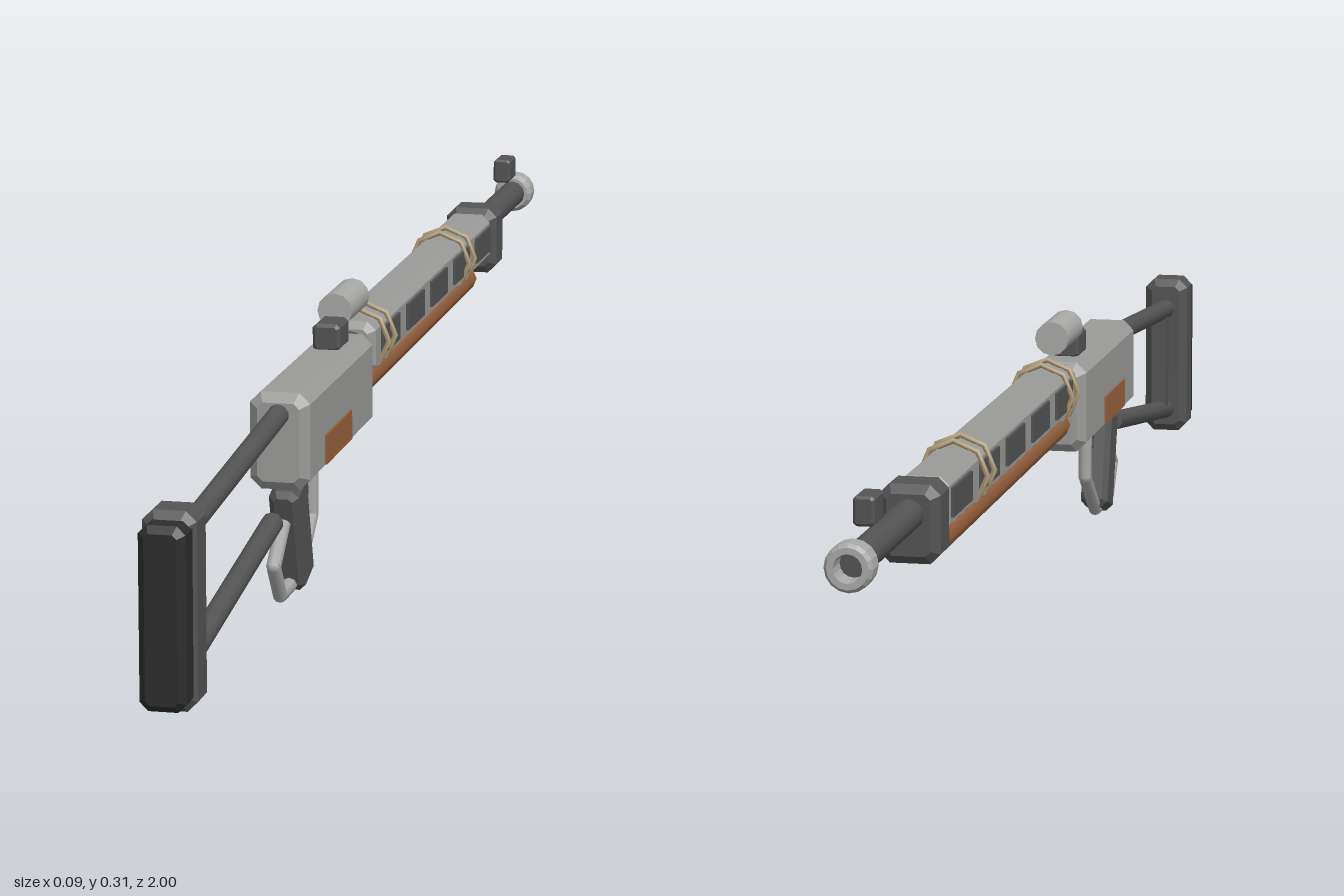
import * as THREE from 'three';

const mat = (name, color) => {
  const m = new THREE.MeshStandardMaterial({ color });
  m.name = name;
  return m;
};

export function createModel() {
  const root = new THREE.Group();
  root.name = 'longProp';
  const steel = mat('steel grey', 0x9a9a98);
  const bright = mat('bright metal', 0xa9a9a8);
  const dark = mat('dark metal', 0x545455);
  const rubber = mat('black rubber', 0x2d2d2e);
  const brown = mat('brown', 0x99623f);
  const tan = mat('tan', 0xb3a07c);

  const add = (name, geo, material, x = 0, y = 0, z = 0) => {
    const m = new THREE.Mesh(geo, material);
    m.name = name;
    m.position.set(x, y, z);
    root.add(m);
    return m;
  };

  // Box with every edge chamfered by c
  const chamferBox = (w, h, d, c) => {
    const a = w / 2 - c, b = h / 2 - c, k = c * 0.6;
    const s = new THREE.Shape([
      [a - k, -b], [a, -b + k], [a, b - k], [a - k, b],
      [-a + k, b], [-a, b - k], [-a, -b + k], [-a + k, -b],
    ].map(([x, y]) => new THREE.Vector2(x, y)));
    const g = new THREE.ExtrudeGeometry(s, {
      depth: d - 2 * c, bevelEnabled: true, bevelSegments: 1, bevelSize: c, bevelThickness: c,
    });
    return g.translate(0, 0, -d / 2 + c);
  };

  // Block given by its y and z limits
  const block = (name, material, w, y0, y1, z0, z1, c) =>
    add(name, chamferBox(w, y1 - y0, z1 - z0, c), material, 0, (y0 + y1) / 2, (z0 + z1) / 2);

  // Round bar between two points in the middle plane, each [y, z]
  const bar = (name, material, r, [y0, z0], [y1, z1], sides = 10) => {
    const a = new THREE.Vector3(0, y0, z0), b = new THREE.Vector3(0, y1, z1);
    const dir = b.clone().sub(a);
    const m = add(name, new THREE.CylinderGeometry(r, r, dir.length(), sides), material);
    m.position.copy(a).add(b).multiplyScalar(0.5);
    m.quaternion.setFromUnitVectors(new THREE.Vector3(0, 1, 0), dir.normalize());
    return m;
  };

  // Skeleton stock
  block('buttPad', rubber, 0.052, 0.03, 0.234, 0.955, 1.0, 0.008);
  block('buttPlate', dark, 0.06, 0.022, 0.243, 0.913, 0.97, 0.01);
  bar('upperStrut', dark, 0.013, [0.2, 0.93], [0.236, 0.46]);
  bar('lowerStrut', dark, 0.013, [0.052, 0.93], [0.114, 0.502]);
  add('stockBrace', new THREE.BoxGeometry(0.02, 0.14, 0.021), dark, 0, 0.127, 0.872);

  // Receiver with inlaid side panels
  block('receiver', steel, 0.072, 0.144, 0.26, 0.12, 0.473, 0.011);
  for (const s of [-1, 1]) {
    add('sidePanel', new THREE.BoxGeometry(0.004, 0.036, 0.134), brown, s * 0.0365, 0.176, 0.321);
  }

  // Slanted grip, trigger and angular guard
  const grip = add('grip', chamferBox(0.036, 0.135, 0.056, 0.007), dark, 0, 0.08, 0.408);
  grip.rotation.x = 0.3;
  bar('trigger', dark, 0.005, [0.15, 0.35], [0.108, 0.34], 6);
  const guard = [[0.1, 0.45], [0.06, 0.497], [0.018, 0.466], [0.018, 0.378], [0.075, 0.307], [0.15, 0.307]];
  guard.slice(1).forEach((p, i) => bar('guardSegment', bright, 0.009, guard[i], p, 8));
  guard.slice(1, -1).forEach(([y, z]) =>
    add('guardJoint', new THREE.SphereGeometry(0.009, 8, 6), bright, 0, y, z));

  // Sights
  block('rearSight', dark, 0.034, 0.257, 0.291, 0.174, 0.228, 0.004);
  bar('sightTube', bright, 0.0215, [0.298, 0.18], [0.298, 0.083], 12).material = bright;
  block('frontSight', dark, 0.024, 0.267, 0.3, -0.928, -0.883, 0.003);

  // Barrel and hollow muzzle
  bar('barrel', dark, 0.018, [0.237, 0.13], [0.237, -0.972], 12);
  const ring = [[0.015, -0.018], [0.022, -0.018], [0.027, -0.011], [0.027, 0.013],
    [0.023, 0.018], [0.016, 0.018], [0.015, -0.018]].map(([r, y]) => new THREE.Vector2(r, y));
  const muzzleGeo = new THREE.LatheGeometry(ring, 16).toNonIndexed();
  muzzleGeo.computeVertexNormals();
  add('muzzle', muzzleGeo, bright, 0, 0.237, -0.982).rotation.x = -Math.PI / 2;
  block('frontBand', dark, 0.07, 0.18, 0.27, -0.72, -0.658, 0.01);

  // Handguard with dark vents on both sides
  block('handguard', steel, 0.06, 0.2, 0.266, -0.652, 0.093, 0.009);
  for (let i = 0; i < 5; i++) {
    for (const s of [-1, 1]) {
      add('vent', new THREE.BoxGeometry(0.006, 0.034, 0.098), dark, s * 0.0305, 0.235, 0.005 - i * 0.148);
    }
  }

  // Paired faceted binding rings
  for (const z of [0.055, 0.017, -0.45, -0.488]) {
    add('bindingRing', new THREE.TorusGeometry(0.04, 0.0035, 6, 8), tan, 0, 0.236, z);
  }

  // Rod under the handguard
  bar('underRod', brown, 0.017, [0.181, 0.125], [0.181, -0.618], 8);

  return root;
}
